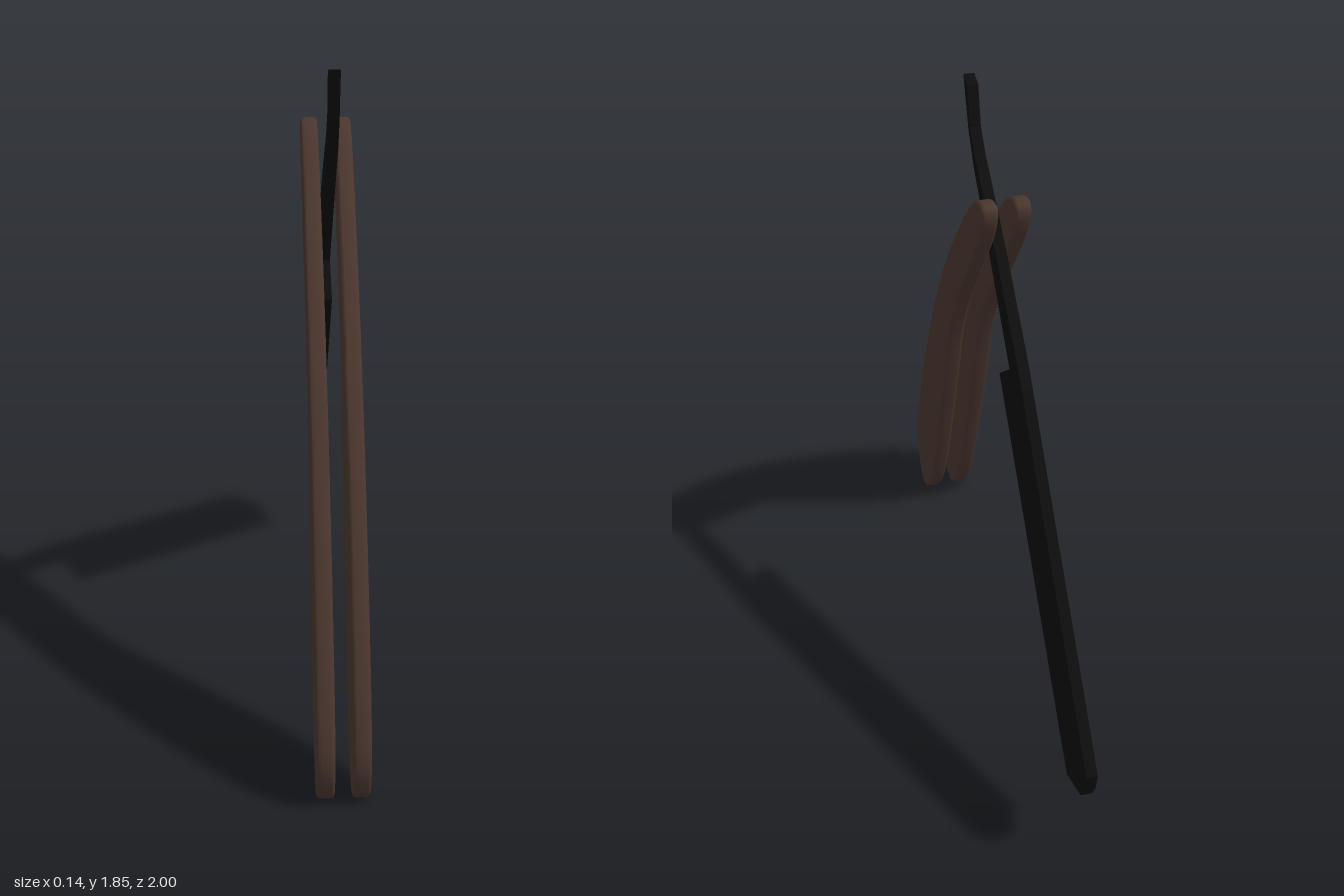
import * as THREE from 'three';
import { toCreasedNormals } from 'three/addons/utils/BufferGeometryUtils.js';

const toPoints = (list) => list.map(([z, y]) => new THREE.Vector2(z, y));

// Extrude a side profile (z, y) between two x positions
function slab(shape, xMin, xMax, bevel = 0) {
  const geometry = new THREE.ExtrudeGeometry(shape, {
    depth: xMax - xMin - 2 * bevel,
    bevelEnabled: bevel > 0,
    bevelThickness: bevel,
    bevelSize: bevel,
    bevelOffset: -bevel,
    bevelSegments: 3,
  });
  geometry.rotateY(-Math.PI / 2);
  geometry.translate(xMax - bevel, 0, 0);
  return geometry;
}

export function createModel() {
  const model = new THREE.Group();
  model.name = 'straightRazor';

  const wood = new THREE.MeshStandardMaterial({ color: 0x4a362e });
  wood.name = 'dark brown wood';
  const steel = new THREE.MeshStandardMaterial({ color: 0x0d0d0d });
  steel.name = 'black steel';

  // Handle halves: a smooth curved outline with rounded rims
  const outline = [
    [1.0, 0.14], [0.98, 0.255], [0.915, 0.425], [0.78, 0.70], [0.594, 1.015],
    [0.406, 1.267], [0.246, 1.45], [0.139, 1.56], [0.06, 1.625], [0, 1.65],
    [-0.033, 1.642], [-0.033, 1.6], [0.005, 1.53], [0.075, 1.438],
    [0.193, 1.288], [0.31, 1.138], [0.406, 0.977], [0.487, 0.763],
    [0.594, 0.495], [0.685, 0.28], [0.755, 0.147], [0.825, 0.055],
    [0.89, 0.005], [0.942, 0.014], [0.98, 0.062],
  ].map(([z, y]) => new THREE.Vector3(z, y, 0));
  const curve = new THREE.CatmullRomCurve3(outline, true);
  const handleShape = new THREE.Shape(
    curve.getPoints(100).slice(0, -1).map((p) => new THREE.Vector2(p.x, p.y)));

  for (const [name, xMin, xMax] of [
    ['leftHandleScale', 0.022, 0.07],
    ['rightHandleScale', -0.073, -0.025],
  ]) {
    const geometry = toCreasedNormals(slab(handleShape, xMin, xMax, 0.01), 0.7);
    const scale = new THREE.Mesh(geometry, wood);
    scale.name = name;
    model.add(scale);
  }

  // Blade with its shank and hooked tang, one flat-sided profile
  const bladeShape = new THREE.Shape(toPoints([
    [0.386, 1.853], [0.337, 1.84], [0.31, 1.722], [0.257, 1.663],
    [0.134, 1.572], [-0.005, 1.465], [-0.23, 1.267], [-0.285, 1.208],
    [-1.0, 0.41], [-0.982, 0.342], [-0.95, 0.292], [-0.815, 0.238],
    [-0.033, 1.10], [-0.15, 1.19], [0.07, 1.417], [0.273, 1.62],
    [0.33, 1.706],
  ]));
  const blade = new THREE.Mesh(slab(bladeShape, -0.012, 0.02), steel);
  blade.name = 'blade';
  model.add(blade);

  return model;
}
